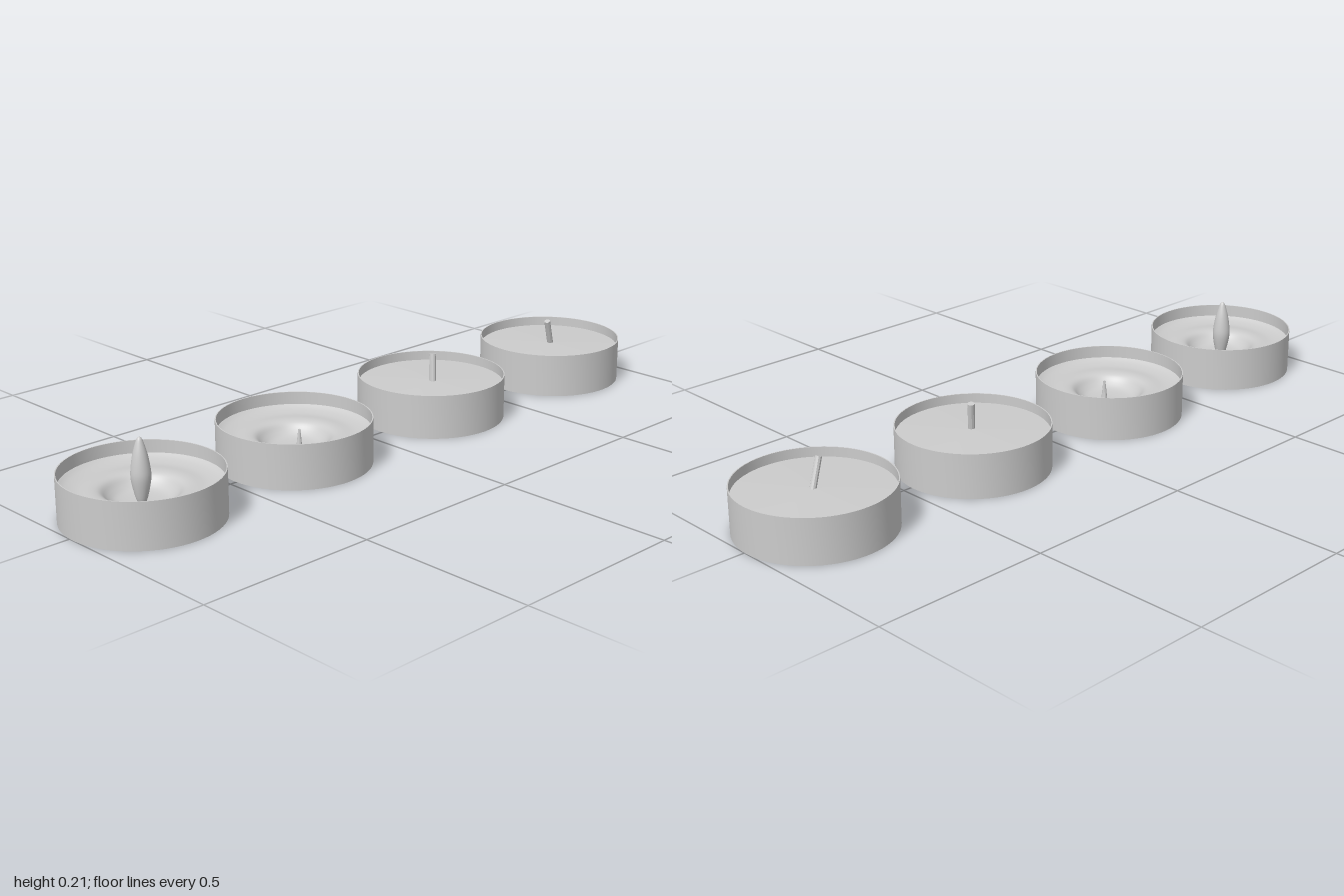
import * as THREE from 'three';
import { toCreasedNormals } from 'three/addons/utils/BufferGeometryUtils.js';

const R = 0.21, H = 0.125, WALL = 0.003;
const material = new THREE.MeshStandardMaterial({ color: 0xcccccc, side: THREE.DoubleSide });

const vectors = (pts) => pts.map(([x, y]) => new THREE.Vector2(x, y));

// smooth lathe through a few control points
function smoothLathe(pts, divisions, segments) {
  const curve = new THREE.SplineCurve(vectors(pts));
  const profile = curve.getPoints(divisions).map((p) => new THREE.Vector2(Math.max(p.x, 0), p.y));
  return new THREE.LatheGeometry(profile, segments);
}

function mesh(name, geometry) {
  const m = new THREE.Mesh(geometry, material);
  m.name = name;
  return m;
}

// tapered round wick between two points
function wick(from, to, rBase, rTip) {
  const a = new THREE.Vector3(...from), b = new THREE.Vector3(...to);
  const dir = b.clone().sub(a);
  const geo = new THREE.CylinderGeometry(rTip, rBase, dir.length(), 10);
  const m = mesh('wick', toCreasedNormals(geo, 0.8));
  m.position.copy(a).add(b).multiplyScalar(0.5);
  m.quaternion.setFromUnitVectors(new THREE.Vector3(0, 1, 0), dir.normalize());
  return m;
}

export function createModel() {
  const model = new THREE.Group();
  model.name = 'tealights';

  // thin metal cup, open at the top
  const cupGeo = toCreasedNormals(new THREE.LatheGeometry(vectors([
    [0, 0], [R, 0], [R, H], [R - WALL, H], [R - WALL, WALL], [0, WALL],
  ]), 64), 0.6);

  // fresh wax rises slightly to the wick; melted wax has a sunken pool
  const freshWax = new THREE.LatheGeometry(vectors([[R - WALL, 0.098], [0.1, 0.102], [0, 0.105]]), 64);
  const meltedWax = smoothLathe([
    [R - WALL, 0.09], [0.19, 0.082], [0.16, 0.077], [0.125, 0.078], [0.103, 0.073],
    [0.085, 0.056], [0.065, 0.044], [0.03, 0.04], [0, 0.04],
  ], 32, 64);

  // teardrop flame
  const flameGeo = smoothLathe([
    [0, 0.032], [0.01, 0.036], [0.018, 0.06], [0.0255, 0.1], [0.024, 0.13],
    [0.018, 0.165], [0.01, 0.193], [0.005, 0.204], [0, 0.207],
  ], 28, 24);

  const flame = mesh('flame', flameGeo);
  flame.position.set(0.002, 0, -0.006);

  const candles = [
    { x: -0.79, z: 0.013, wax: meltedWax, top: flame },
    { x: -0.27, z: -0.006, wax: meltedWax, top: wick([0.004, 0.035, 0.014], [0.005, 0.093, 0.014], 0.009, 0.003) },
    { x: 0.265, z: -0.012, wax: freshWax, top: wick([-0.005, 0.095, 0.012], [0.005, 0.18, 0.001], 0.009, 0.01) },
    { x: 0.79, z: -0.008, wax: freshWax, top: wick([0.005, 0.095, 0.002], [-0.027, 0.179, 0.012], 0.009, 0.009) },
  ];

  for (const { x, z, wax, top } of candles) {
    const candle = new THREE.Group();
    candle.name = 'candle';
    candle.position.set(x, 0, z);
    candle.add(mesh('cup', cupGeo), mesh('wax', wax), top);
    model.add(candle);
  }
  return model;
}
